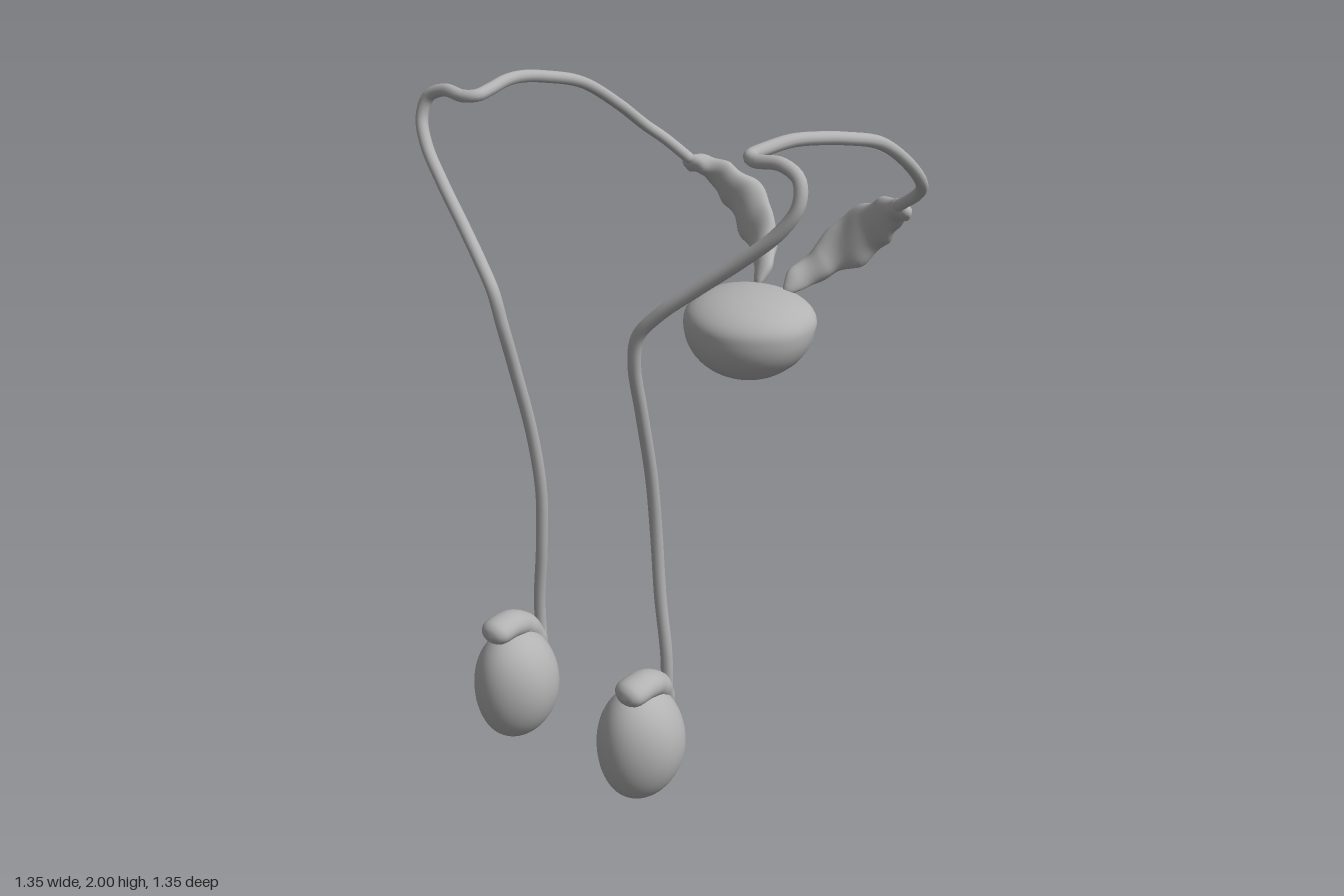
import * as THREE from 'three';
import { mergeVertices } from 'three/addons/utils/BufferGeometryUtils.js';

const grey = new THREE.MeshStandardMaterial({ color: 0xb2b2b2 });
grey.name = 'tissue grey';

function mesh(name, geometry, parent) {
  const m = new THREE.Mesh(geometry, grey);
  m.name = name;
  parent.add(m);
  return m;
}

// Sphere whose vertices are moved by a rule, welded so the shading is seamless
function shaped(rule, across = 40, along = 32) {
  let g = new THREE.SphereGeometry(1, across, along);
  const pos = g.attributes.position, uv = g.attributes.uv, v = new THREE.Vector3();
  for (let i = 0; i < pos.count; i++) {
    v.fromBufferAttribute(pos, i);
    rule(v, uv.getY(i));
    pos.setXYZ(i, v.x, v.y, v.z);
  }
  g.deleteAttribute('uv');
  g.deleteAttribute('normal');
  g = mergeVertices(g, 1e-5);
  g.computeVertexNormals();
  return g;
}

// Flattened body swept along rows of [x, y, z, halfWidth, halfThickness]
function sweep(rows, side, widthDir, bump = () => 1) {
  const path = new THREE.CatmullRomCurve3(rows.map(r => new THREE.Vector3(r[0] * side, r[1], r[2])));
  const size = new THREE.CatmullRomCurve3(rows.map(r => new THREE.Vector3(r[3], r[4], 0)), false, 'catmullrom', 0.5);
  const n = rows.length - 1;
  const sizeAt = t => {
    const i = Math.min(Math.floor(t * n), n - 1), f = t * n - i;
    return [3, 4].map(k => THREE.MathUtils.lerp(rows[i][k], rows[i + 1][k], f * f * (3 - 2 * f)));
  };
  return shaped((v, t) => {
    const len = Math.hypot(v.x, v.z) || 1;
    const c = v.x / len, s = v.z / len;
    const e = Math.min(t, 1 - t) / 0.1;
    const cap = e >= 1 ? 1 : Math.sqrt(Math.max(0, 1 - (1 - e) ** 2));
    const T = path.getTangent(t);
    const A = new THREE.Vector3(widthDir[0] * side, widthDir[1], widthDir[2]);
    A.addScaledVector(T, -A.dot(T)).normalize();
    const B = new THREE.Vector3().crossVectors(A, T);
    const [w, h] = sizeAt(t);
    const k = cap * bump(t, c, s * side);
    v.copy(path.getPoint(t)).addScaledVector(A, c * w * k).addScaledVector(B, s * h * k);
  }, 28, 56);
}

const ductPoints = [
  [.25, .2, .412], [.252, .42, .415], [.232, .62, .417], [.222, .82, .42], [.226, 1.02, .445],
  [.234, 1.24, .495], [.242, 1.4, .533], [.262, 1.49, .54], [.32, 1.56, .525], [.42, 1.645, .49],
  [.53, 1.735, .452], [.62, 1.82, .418], [.658, 1.89, .393], [.645, 1.95, .375],
  [.585, 1.977, .367], [.51, 1.972, .37], [.478, 1.974, .35], [.482, 1.979, .29],
  [.502, 1.984, .2], [.527, 1.972, .1], [.538, 1.95, 0], [.542, 1.895, -.18], [.538, 1.79, -.35],
  [.518, 1.7, -.46], [.475, 1.65, -.51], [.4, 1.595, -.535]
];

const vesicleRows = [
  [.05, 1.255, -.445, .025, .018], [.075, 1.3, -.51, .04, .025], [.12, 1.345, -.575, .058, .034],
  [.185, 1.41, -.615, .078, .04], [.255, 1.475, -.632, .078, .038], [.315, 1.525, -.618, .056, .034],
  [.365, 1.56, -.59, .036, .03], [.4, 1.572, -.562, .032, .025], [.43, 1.575, -.54, .022, .02]
];

const capRows = [
  [.262, .39, .635, .045, .034], [.265, .395, .585, .052, .04], [.265, .39, .53, .05, .042],
  [.262, .36, .475, .042, .038], [.256, .305, .435, .034, .03], [.252, .24, .416, .026, .022],
  [.25, .17, .412, .014, .012]
];

export function createModel() {
  const model = new THREE.Group();
  model.name = 'glandModel';

  // Central gland: domed top, deeper rounded underside, flattened back
  mesh('centralGland', shaped(v => {
    const { x, y, z } = v;
    const back = Math.max(0, -z), front = Math.max(0, z);
    const low = Math.max(0, -y);
    const flat = y > 0 ? Math.pow(y, 0.9) * 0.1 : y * 0.18;
    v.set(
      x * .212 * (1 + .1 * back * (1 - back) + .12 * front * (1 - front)),
      1.185 + flat + back * (y > 0 ? .012 : .05) * (1 - low) * (1 - Math.abs(y)),
      -.345 + z * (z > 0 ? .215 : .18) + .02 * low
    );
  }), model);

  for (const side of [1, -1]) {
    const half = new THREE.Group();
    half.name = side > 0 ? 'leftSide' : 'rightSide';
    model.add(half);

    // Egg-shaped lower gland, narrower toward the front
    mesh('lowerGland', shaped(v => {
      const { x, y, z } = v;
      v.set(
        side * .25 + x * .126 * (1 - .1 * z * Math.abs(z)) * (1 + .06 * (1 - y * y)) * .97,
        .188 + y * .184,
        .54 + z * .136 * (1 + .1 * y * y)
      );
    }), half);

    // Cap folding over the gland and down its back
    mesh('glandCap', sweep(capRows, side, [1, 0, 0]), half);

    // Long looping duct
    const curve = new THREE.CatmullRomCurve3(ductPoints.map(p => new THREE.Vector3(p[0] * side, p[1], p[2])));
    mesh('duct', new THREE.TubeGeometry(curve, 240, .0185, 12), half);
    const end = mesh('ductEnd', new THREE.SphereGeometry(.0185, 12, 8), half);
    end.position.copy(curve.getPoint(1));

    // Lobed, flattened pouch behind the central gland
    mesh('pouch', sweep(vesicleRows, side, [.7, -.7, 0],
      (t, c, s) => 1 + .07 * Math.sin(t * 34 + 2 * c) + .06 * Math.sin(t * 21 + 3 * s)), half);
  }
  return model;
}
